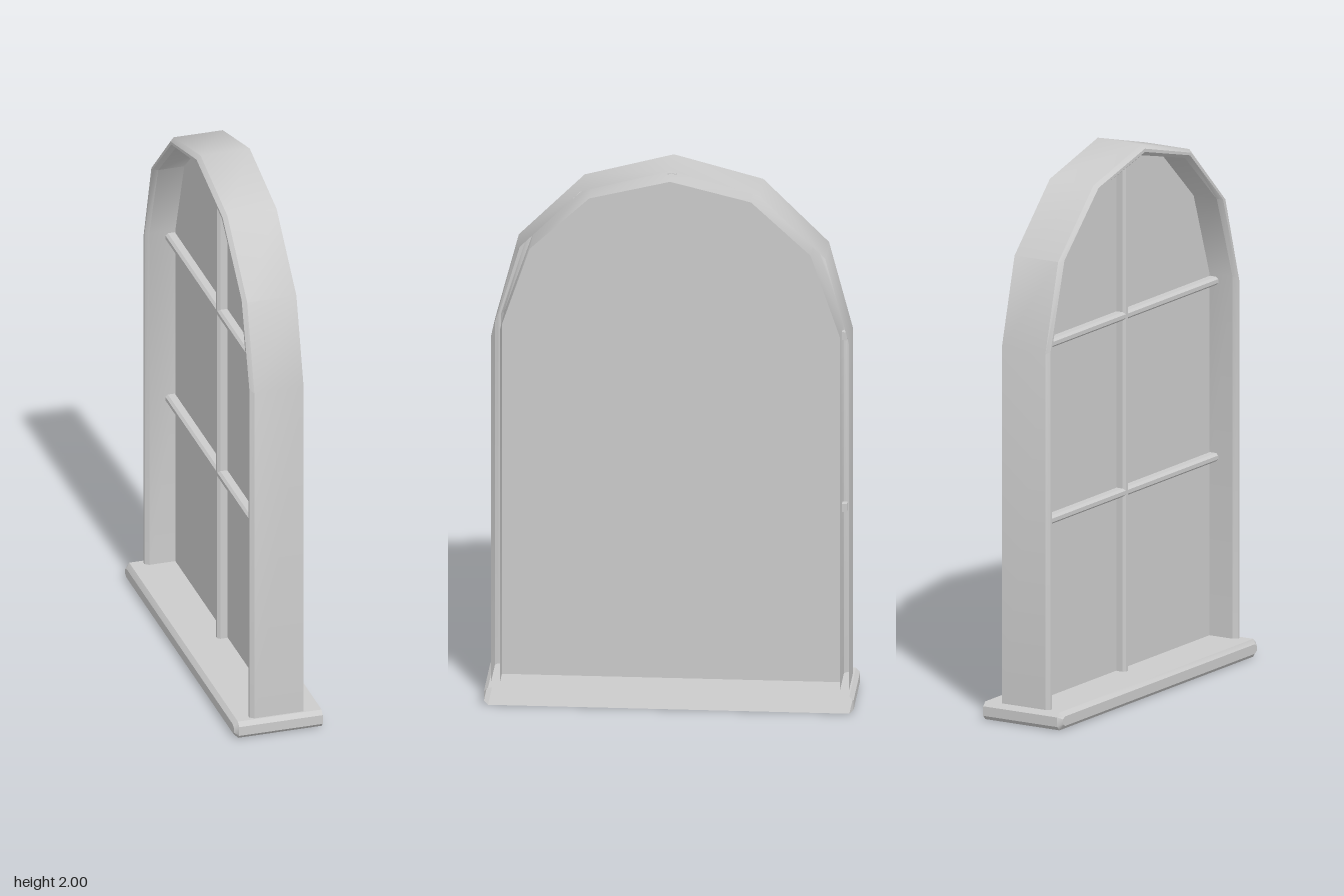
import * as THREE from 'three';
import { toCreasedNormals } from 'three/addons/utils/BufferGeometryUtils.js';

const material = new THREE.MeshStandardMaterial({ color: 0xcccccc, side: THREE.DoubleSide });

// Skin a grid of points: rows[i][j] = [x, y, z]
function loft(rows) {
  const n = rows[0].length, index = [];
  for (let i = 0; i < rows.length - 1; i++) {
    for (let j = 0; j < n - 1; j++) {
      const a = i * n + j, b = a + n;
      index.push(a, b, a + 1, b, b + 1, a + 1);
    }
  }
  const geo = new THREE.BufferGeometry();
  geo.setAttribute('position', new THREE.Float32BufferAttribute(rows.flat(2), 3));
  geo.setIndex(index);
  return toCreasedNormals(geo, 0.6);
}

function add(group, name, geo) {
  const mesh = new THREE.Mesh(geo, material);
  mesh.name = name;
  group.add(mesh);
  return mesh;
}

// Half an outline as [z, y], mirrored into a full arch from +z over to -z
const mirrorArch = (half) => [...half, ...half.slice(0, -1).reverse().map(([z, y]) => [-z, y])];

// Bar with the two edges on its -x side chamfered, running along z
function bar(length) {
  const s = new THREE.Shape([
    [0.01, -0.015], [0.01, 0.015], [-0.016, 0.015], [-0.025, 0.007], [-0.025, -0.007], [-0.016, -0.015],
  ].map(([x, y]) => new THREE.Vector2(x, y)));
  return new THREE.ExtrudeGeometry(s, { depth: length, bevelEnabled: false });
}

export function createModel() {
  const group = new THREE.Group();
  group.name = 'archedWindow';

  const outer = mirrorArch([[0.637, 0.05], [0.637, 1.365], [0.552, 1.685], [0.318, 1.916], [0, 2]]);
  const inner = mirrorArch([[0.605, 0.05], [0.605, 1.39], [0.5, 1.695], [0.288, 1.89], [0, 1.96]]);

  // Frame: hollow channel, open on +x, with a bevelled lip on -x
  const frameRows = outer.map(([zo, yo], i) => {
    const [zi, yi] = inner[i];
    const at = (t, x) => [x, yo + (yi - yo) * t, zo + (zi - zo) * t];
    return [at(0, 0.098), at(0, -0.085), at(0.35, -0.1), at(0.65, -0.1), at(1, -0.085), at(1, 0.098)];
  });
  add(group, 'archedFrame', loft(frameRows));

  // Glass pane filling the inner outline
  const paneShape = new THREE.Shape(inner.map(([z, y]) => new THREE.Vector2(z, y)));
  const pane = add(group, 'pane', new THREE.ShapeGeometry(paneShape).rotateY(-Math.PI / 2));
  pane.position.x = 0.012;

  // Glazing bars
  for (const y of [0.72, 1.365]) {
    add(group, 'horizontalBar', bar(1.23)).position.set(0, y, -0.623);
  }
  add(group, 'verticalBar', bar(1.91).rotateX(-Math.PI / 2)).position.y = 0.05;

  // Sill: chamfered shell, open on +x, closed by a bevelled face on -x
  const Z = 0.658, H = 0.065, c = 0.015;
  const profile = [
    [Z, c], [Z, H - c], [Z - c, H], [c - Z, H], [-Z, H - c], [-Z, c], [c - Z, 0], [Z - c, 0], [Z, c],
  ];
  const inset = (v, mid, half) => mid + (v - mid) * (half - c) / half;
  const sillRows = profile.map(([z, y]) => {
    const z2 = inset(z, 0, Z), y2 = inset(y, H / 2, H / 2);
    return [[0.163, y, z], [-0.148, y, z], [-0.163, y2, z2], [-0.163, H / 2, 0]];
  });
  add(group, 'sill', loft(sillRows));

  return group;
}
